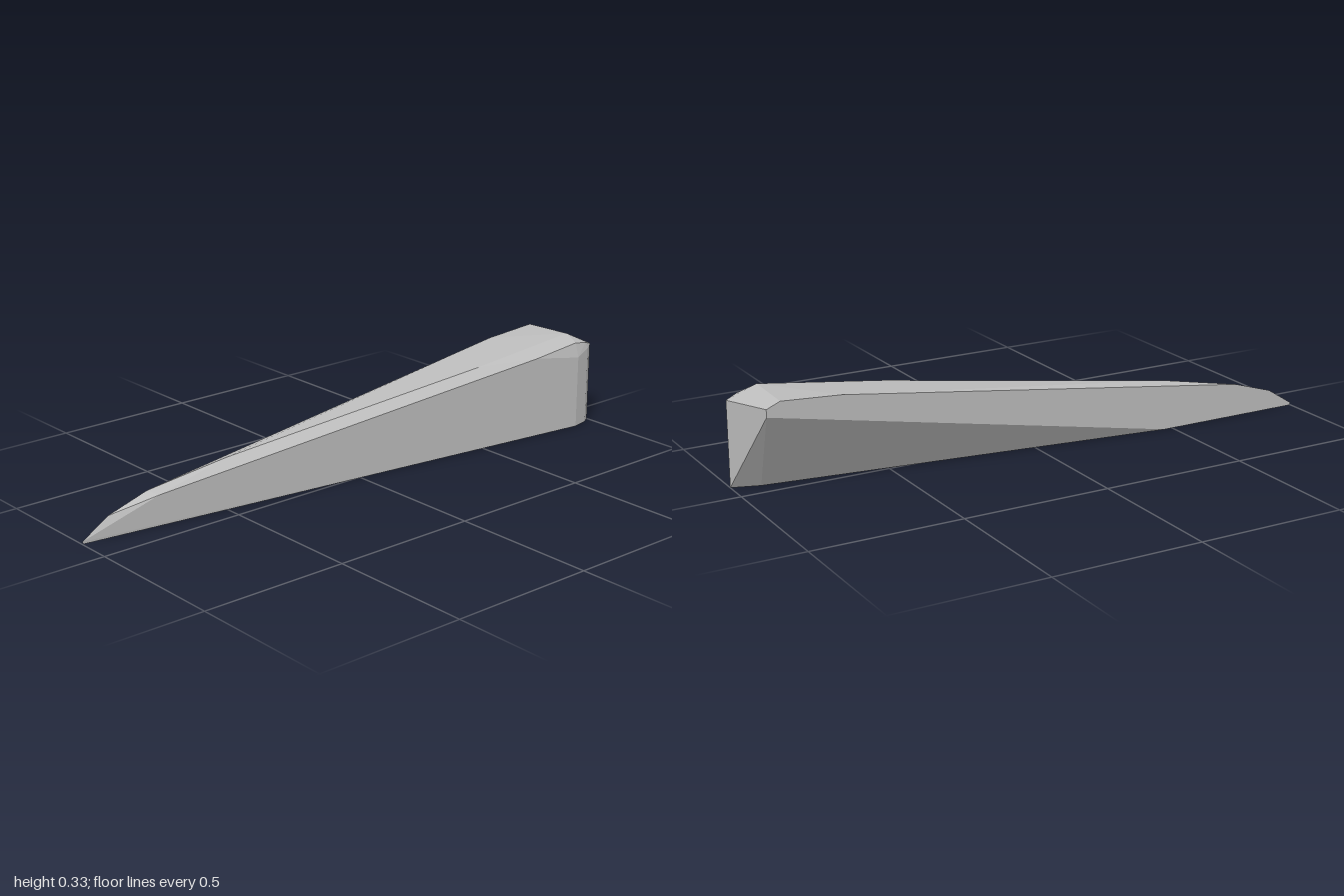
import * as THREE from 'three';
import { ConvexGeometry } from 'three/addons/geometries/ConvexGeometry.js';

const v = (x, y, z) => new THREE.Vector3(x, y, z);

export function createModel() {
  const grey = new THREE.MeshStandardMaterial({ color: 0xbcbcbc });
  grey.name = 'grey';

  // Pointed front tip and the flat side rising from it
  const flatSide = [
    [0, 0.995], [0.008, 1], [0.068, 0.905], [0.113, 0.76],
    [0.312, -0.71], [0.324, -0.91], [0.305, -0.955], [0.28, -0.955], [0, 0.47],
  ].map(([y, z]) => v(-0.12, y, z));

  // Upper and lower edges of the bevel along the diagonal side
  const bevel = [
    v(-0.087, 0.162, 0.48), v(0.035, 0.283, -0.5), v(0.06, 0.33, -0.91),
    v(-0.087, 0.102, 0.737), v(0.097, 0.283, -0.727), v(0.105, 0.305, -0.91),
  ];

  // Rounded rear corner, each upright running from the base to its top
  const rearCorner = [];
  for (const [x, top, z] of [[0.12, 0.255, -0.91], [0.108, 0.275, -0.97], [0.09, 0.283, -1]]) {
    rearCorner.push(v(x, 0, z), v(x, top, z));
  }
  rearCorner.push(v(0.104, 0.296, -0.96));

  // Inner corner of the narrow base
  const base = [v(0.06, 0, -0.91)];

  // All faces are planar and the solid is convex
  const body = new THREE.Mesh(
    new ConvexGeometry([...flatSide, ...bevel, ...rearCorner, ...base]), grey);
  body.name = 'wedgeBody';

  const model = new THREE.Group();
  model.name = 'wedge';
  model.add(body);
  return model;
}
